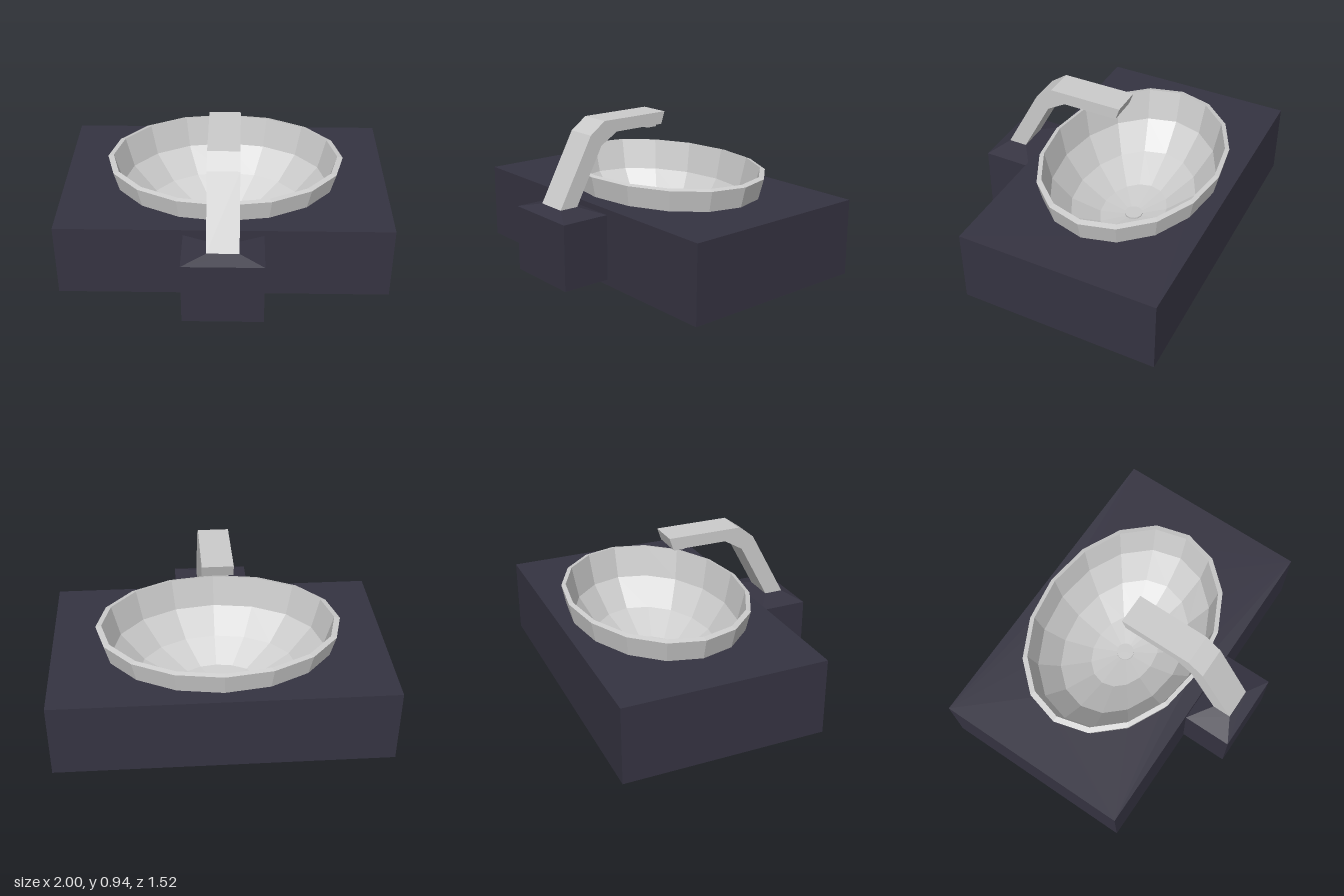
import * as THREE from 'three';

export function createModel() {
  const model = new THREE.Group();
  const dark = new THREE.MeshStandardMaterial({ color: 0x353341, flatShading: true });
  const grey = new THREE.MeshStandardMaterial({ color: 0xcccccc, flatShading: true });
  const basinZ = -0.155;

  function add(name, geometry, material, x = 0, y = 0, z = 0) {
    const mesh = new THREE.Mesh(geometry, material);
    mesh.name = name;
    mesh.position.set(x, y, z);
    model.add(mesh);
    return mesh;
  }

  // Counter block: slab with an oval cut-out, closed by a thin bottom
  const outline = new THREE.Shape([
    new THREE.Vector2(-1, -0.46), new THREE.Vector2(1, -0.46),
    new THREE.Vector2(1, 0.76), new THREE.Vector2(-1, 0.76),
  ]);
  const hole = [];
  for (let i = 0; i < 16; i++) {
    const a = -i * Math.PI / 8;
    hole.push(new THREE.Vector2(0.685 * Math.cos(a), -basinZ + 0.505 * Math.sin(a)));
  }
  outline.holes.push(new THREE.Path(hole));
  const slab = new THREE.ExtrudeGeometry(outline, { depth: 0.435, bevelEnabled: false });
  slab.rotateX(-Math.PI / 2);
  add('counter', slab, dark, 0, 0.03, 0);
  add('counterBottom', new THREE.BoxGeometry(2, 0.03, 1.22), dark, 0, 0.015, -0.15);

  // Oval basin: outer and inner quarter arcs joined by a sloping rim
  const profile = [];
  const arc = (radius, top, depth, step) => {
    const a = step * Math.PI / 8;
    profile.push(new THREE.Vector2(step === 4 ? 0 : radius * Math.cos(a), top - depth * Math.sin(a)));
  };
  for (let i = 4; i >= 0; i--) arc(0.735, 0.592, 0.54, i);
  for (let i = 0; i <= 4; i++) arc(0.7, 0.6, 0.51, i);
  const basin = add('basin', new THREE.LatheGeometry(profile, 16), grey, 0, 0, basinZ);
  basin.scale.z = 0.545 / 0.735;
  add('drain', new THREE.CylinderGeometry(0.056, 0.056, 0.03, 24), grey, 0, 0.095, basinZ);

  // Tap base with a tapered cap
  add('tapBase', new THREE.BoxGeometry(0.476, 0.395, 0.3), dark, 0, 0.2325, 0.61);
  const cap = new THREE.BoxGeometry(0.476, 0.035, 0.3);
  const p = cap.attributes.position;
  for (let i = 0; i < p.count; i++) {
    if (p.getY(i) > 0) {
      p.setX(i, Math.sign(p.getX(i)) * 0.094);
      p.setZ(i, p.getZ(i) > 0 ? 0.07 : -0.045);
    }
  }
  add('tapBaseCap', cap, dark, 0, 0.4475, 0.61);

  // Bent square spout, drawn in side profile (z, y)
  const side = [
    [0.68, 0.465], [0.46, 0.87], [0.36, 0.942], [-0.095, 0.942],
    [-0.07, 0.868], [0.27, 0.868], [0.385, 0.8], [0.565, 0.465],
  ].map(([z, y]) => new THREE.Vector2(z, y));
  const spout = new THREE.ExtrudeGeometry(new THREE.Shape(side), { depth: 0.188, bevelEnabled: false });
  spout.translate(0, 0, -0.094);
  spout.rotateY(-Math.PI / 2);
  add('spout', spout, grey);
  add('spoutOutlet', new THREE.BoxGeometry(0.13, 0.025, 0.066), grey, 0, 0.863, -0.018);

  return model;
}
